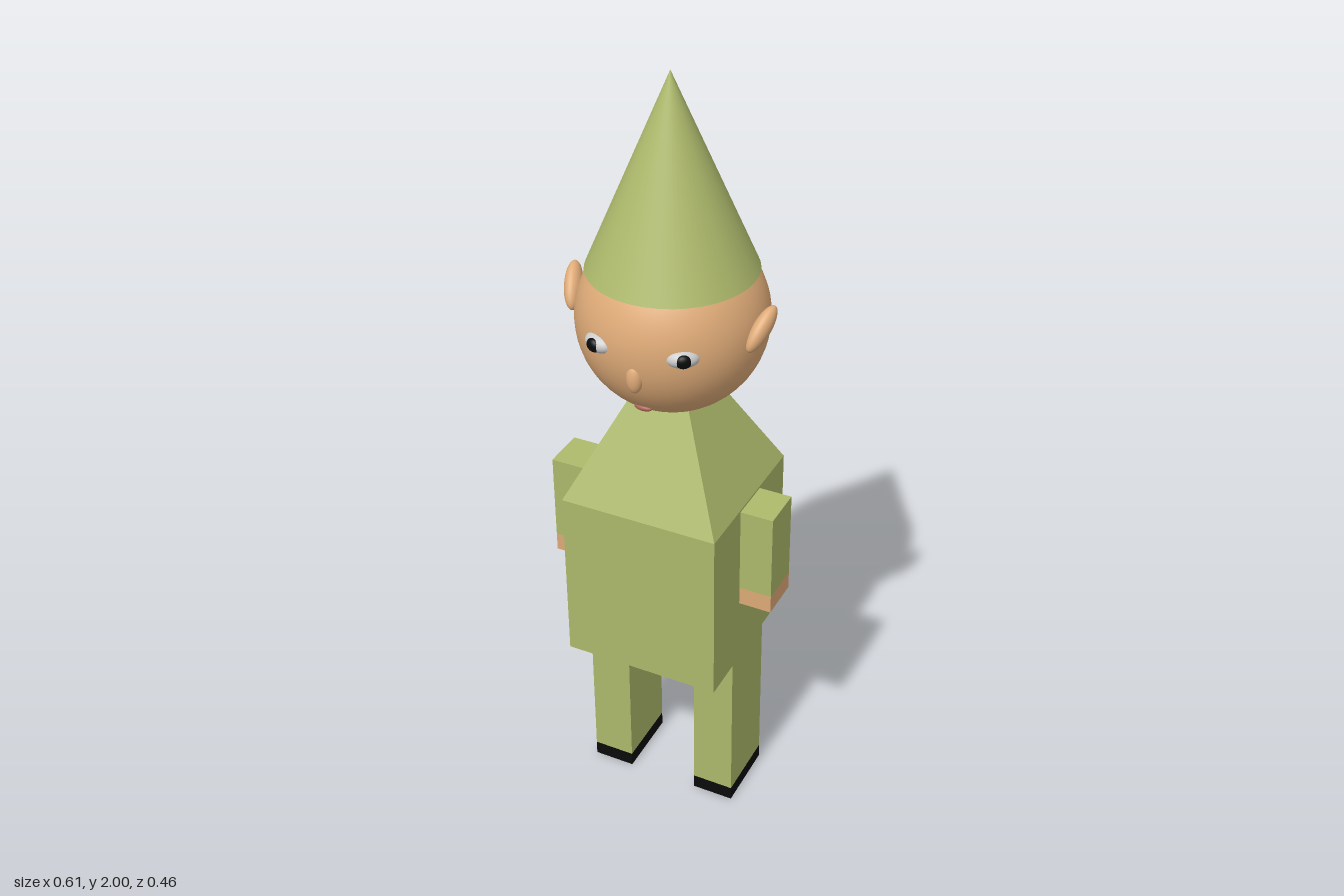
import * as THREE from 'three';

const mat = (color) => new THREE.MeshStandardMaterial({ color });

export function createModel() {
  const green = mat(0xaeba6c), skin = mat(0xdfab78), black = mat(0x0a0a0a);
  const white = mat(0xcccccc), lip = mat(0xa85f55);

  // The whole figure leans forward slightly about the middle of the torso
  const model = new THREE.Group();
  const lean = new THREE.Group();
  lean.name = 'leaningFigure';
  lean.position.set(0.0125, 0.708, -0.0225);
  lean.rotation.x = 0.026;
  model.add(lean);
  const figure = new THREE.Group();
  figure.name = 'figure';
  figure.position.y = -0.708;
  lean.add(figure);

  const add = (name, geometry, material, parent, x = 0, y = 0, z = 0) => {
    const mesh = new THREE.Mesh(geometry, material);
    mesh.name = name;
    mesh.position.set(x, y, z);
    parent.add(mesh);
    return mesh;
  };
  // Box given by its bottom and top heights
  const block = (name, material, x, y0, y1, w, d) =>
    add(name, new THREE.BoxGeometry(w, y1 - y0, d), material, figure, x, (y0 + y1) / 2, 0);
  const ellipsoid = (name, material, parent, pos, size) => {
    const mesh = add(name, new THREE.SphereGeometry(1, 32, 20), material, parent, ...pos);
    mesh.scale.set(...size);
    return mesh;
  };

  // Torso and sloping shoulders
  block('torso', green, 0, 0.475, 0.94, 0.41, 0.41);
  const shoulderGeo = new THREE.ConeGeometry(0.205 * Math.SQRT2, 0.42, 4).rotateY(Math.PI / 4).toNonIndexed();
  shoulderGeo.computeVertexNormals();
  add('shoulders', shoulderGeo, green, figure, 0, 1.15, 0);

  // Arms with hands, legs with shoes
  for (const [side, armX, armW, legX] of [['right', -0.261, 0.112, -0.15], ['left', 0.247, 0.086, 0.15]]) {
    block(side + 'Sleeve', green, armX, 0.703, 0.935, armW, 0.113);
    block(side + 'Hand', skin, armX, 0.654, 0.703, armW, 0.113);
    block(side + 'Leg', green, legX, 0.042, 0.475, 0.11, 0.185);
    block(side + 'Shoe', black, legX, 0.003, 0.042, 0.11, 0.185);
  }

  // Head, with its features placed around its centre
  const head = new THREE.Group();
  head.name = 'head';
  head.position.y = 1.405;
  figure.add(head);
  add('skull', new THREE.SphereGeometry(0.23, 48, 32), skin, head);
  add('hat', new THREE.ConeGeometry(0.203, 0.47, 64), green, head, 0, 0.36, 0);

  // Eyes turned outward with the curve of the face
  for (const [side, x, z, yaw] of [['right', -0.083, 0.198, -0.33], ['left', 0.113, 0.18, 0.57]]) {
    const eye = new THREE.Group();
    eye.name = side + 'Eye';
    eye.position.set(x, 0.009, z);
    eye.rotation.y = yaw;
    head.add(eye);
    ellipsoid(side + 'Eyeball', white, eye, [0, 0, 0], [0.041, 0.024, 0.032]);
    ellipsoid(side + 'Pupil', black, eye, [0, 0, 0.023], [0.019, 0.017, 0.012]);
  }

  // Nose and mouth
  ellipsoid('nose', skin, head, [0.011, -0.054, 0.218], [0.02, 0.037, 0.018]);
  ellipsoid('mouth', lip, head, [0, -0.168, 0.157], [0.023, 0.008, 0.01]);

  // Ears: long axis rises backward and outward
  for (const [side, s, x] of [['right', -1, -0.246], ['left', 1, 0.238]]) {
    const ear = ellipsoid(side + 'Ear', skin, head, [x, 0.033, 0.03], [0.021, 0.061, 0.028]);
    const axis = new THREE.Vector3(s * 0.25, 0.72, -0.66).normalize();
    ear.quaternion.setFromUnitVectors(new THREE.Vector3(0, 1, 0), axis);
  }

  return model;
}
